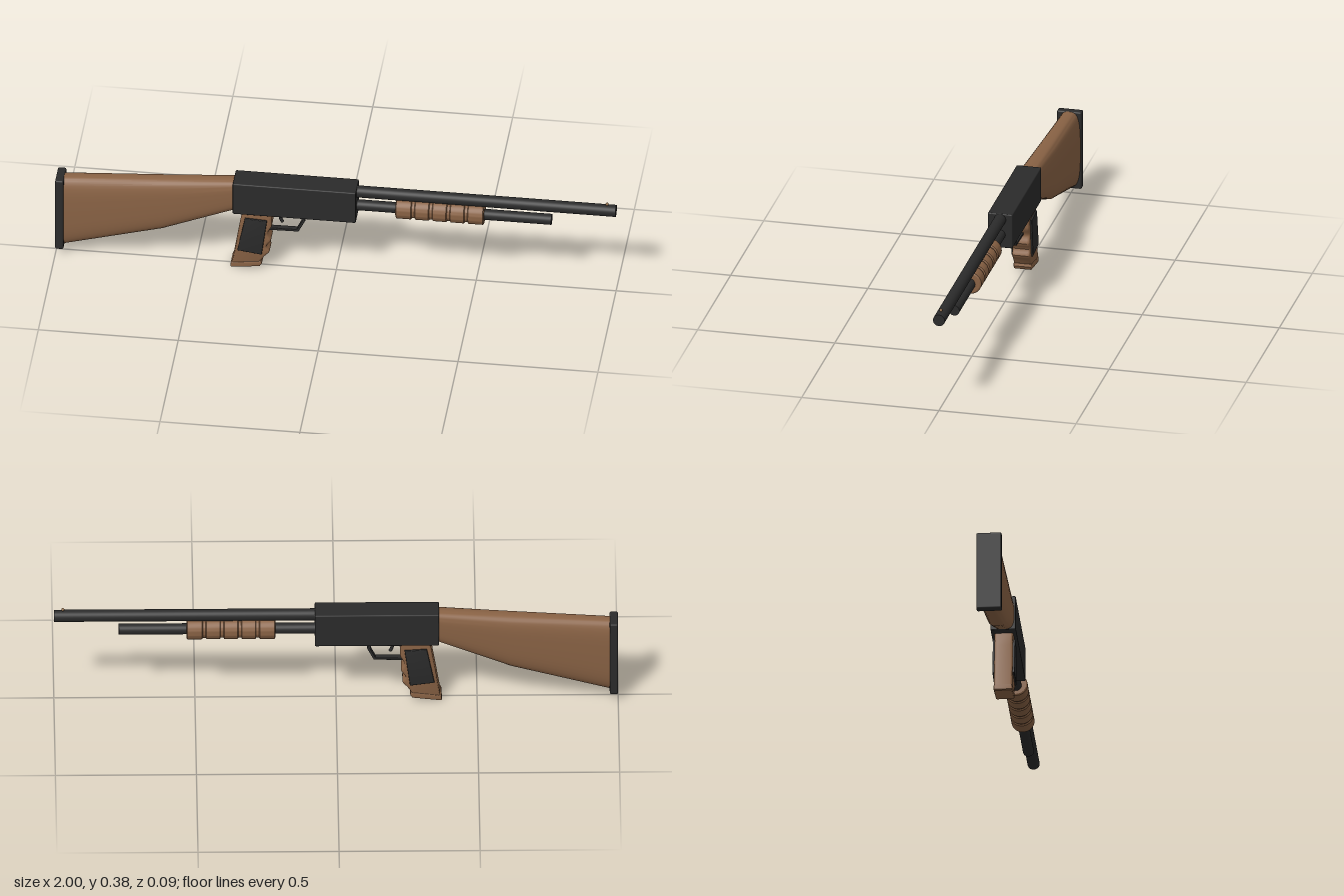
import * as THREE from 'three';
import { toCreasedNormals } from 'three/addons/utils/BufferGeometryUtils.js';
import { RoundedBoxGeometry } from 'three/addons/geometries/RoundedBoxGeometry.js';

export function createModel() {
  const model = new THREE.Group();
  const mat = (name, color) => {
    const m = new THREE.MeshStandardMaterial({ color });
    m.name = name;
    return m;
  };
  const wood = mat('wood', 0x8a6345);
  const steel = mat('dark steel', 0x2b2b2b);
  const brass = mat('brass', 0x94704c);

  const add = (name, geo, material, x = 0, y = 0, z = 0) => {
    const mesh = new THREE.Mesh(geo, material);
    mesh.name = name;
    mesh.position.set(x, y, z);
    model.add(mesh);
    return mesh;
  };
  // Cylinder lying along x
  const rod = (name, r, x0, x1, y) =>
    add(name, new THREE.CylinderGeometry(r, r, x1 - x0, 32).rotateZ(-Math.PI / 2), steel, (x0 + x1) / 2, y);
  // Side outline extruded across z with rounded edges
  const slab = (points, width, bevel) => {
    const shape = new THREE.Shape(points.map(p => new THREE.Vector2(...p)));
    const geo = new THREE.ExtrudeGeometry(shape, {
      depth: width - 2 * bevel, bevelEnabled: bevel > 0, bevelSize: bevel,
      bevelThickness: bevel, bevelOffset: -bevel, bevelSegments: 3,
    });
    geo.translate(0, 0, bevel - width / 2);
    return toCreasedNormals(geo, 0.6);
  };

  // Receiver, barrel and magazine tube
  add('receiver', new RoundedBoxGeometry(0.44, 0.13, 0.09, 2, 0.004), steel, -0.145, 0.305);
  rod('barrel', 0.0215, 0.06, 1, 0.348);
  rod('magazineTube', 0.0195, 0.06, 0.77, 0.29);

  // Bead sight
  add('sightPost', new THREE.CylinderGeometry(0.003, 0.003, 0.008, 10), steel, 0.968, 0.37);
  add('sightBead', new THREE.SphereGeometry(0.0055, 16, 12), brass, 0.968, 0.3745);

  // Sliding fore-end with ring grooves
  const rings = 5, start = 0.215, step = 0.063;
  const profile = [[0.018, start]];
  for (let i = 0; i < rings; i++) {
    const a = start + i * step + (i ? 0.005 : 0);
    const b = start + (i + 1) * step - (i < rings - 1 ? 0.005 : 0);
    profile.push([0.036, a], [0.041, a + 0.003], [0.041, b - 0.003], [0.036, b]);
  }
  profile.push([0.018, start + rings * step]);
  const foreEnd = new THREE.LatheGeometry(profile.map(p => new THREE.Vector2(...p)), 40).rotateZ(-Math.PI / 2);
  add('foreEnd', toCreasedNormals(foreEnd, 0.5), wood, 0, 0.294);

  // Stock: rounded sections [x, bottom, top, half width]
  const sections = [
    [-0.972, 0.036, 0.324, 0.041],
    [-0.62, 0.135, 0.347, 0.041],
    [-0.36, 0.243, 0.365, 0.039],
  ];
  const sides = 40, pos = [];
  const pow = v => Math.sign(v) * Math.abs(v) ** 0.6;
  const point = (i, j) => {
    const [x, y0, y1, w] = sections[i];
    const a = (j / sides) * Math.PI * 2;
    return [x, (y0 + y1) / 2 + pow(Math.sin(a)) * (y1 - y0) / 2, w * pow(Math.cos(a))];
  };
  for (let i = 0; i < sections.length - 1; i++) {
    for (let j = 0; j < sides; j++) {
      const a = point(i, j), b = point(i + 1, j), c = point(i + 1, j + 1), d = point(i, j + 1);
      pos.push(...a, ...b, ...c, ...a, ...c, ...d);
    }
  }
  const stock = new THREE.BufferGeometry();
  stock.setAttribute('position', new THREE.Float32BufferAttribute(pos, 3));
  add('stock', toCreasedNormals(stock, 0.5), wood);
  add('buttPlate', new RoundedBoxGeometry(0.03, 0.296, 0.09, 3, 0.006), steel, -0.985, 0.177);

  // Pistol grip with finger grooves on its front edge
  const fingers = new THREE.SplineCurve([
    [-0.27, 0.03], [-0.253, 0.055], [-0.235, 0.078], [-0.246, 0.1], [-0.23, 0.127],
    [-0.242, 0.155], [-0.228, 0.185], [-0.227, 0.215], [-0.222, 0.25],
  ].map(p => new THREE.Vector2(...p))).getPoints(32).map(p => [p.x, p.y]);
  add('grip', slab([[-0.37, 0.018], ...fingers, [-0.332, 0.25], [-0.342, 0.19]], 0.066, 0.008), wood);
  add('gripBase', slab([[-0.375, 0.003], [-0.37, 0], [-0.27, 0.012], [-0.262, 0.025], [-0.265, 0.035], [-0.373, 0.022]],
    0.066, 0.004), wood);

  // Grip side panels
  for (const s of [1, -1]) {
    add(s > 0 ? 'gripPanelFront' : 'gripPanelBack',
      slab([[-0.349, 0.08], [-0.262, 0.068], [-0.243, 0.215], [-0.322, 0.22]], 0.009, 0.002), steel, 0, 0, s * 0.035);
  }

  // Trigger guard: a flat strip following the bow
  const outer = [[-0.24, 0.158], [-0.134, 0.16], [-0.11, 0.208], [-0.127, 0.245]];
  const inner = [[-0.138, 0.245], [-0.121, 0.208], [-0.14, 0.169], [-0.24, 0.168]];
  add('triggerGuard', slab([...outer, ...inner], 0.021, 0.002), steel);

  // Trigger
  const triggerPath = new THREE.CatmullRomCurve3([
    [-0.19, 0.245], [-0.198, 0.225], [-0.199, 0.208], [-0.192, 0.192],
  ].map(p => new THREE.Vector3(p[0], p[1], 0)));
  add('trigger', new THREE.TubeGeometry(triggerPath, 12, 0.006, 10), steel);

  return model;
}
